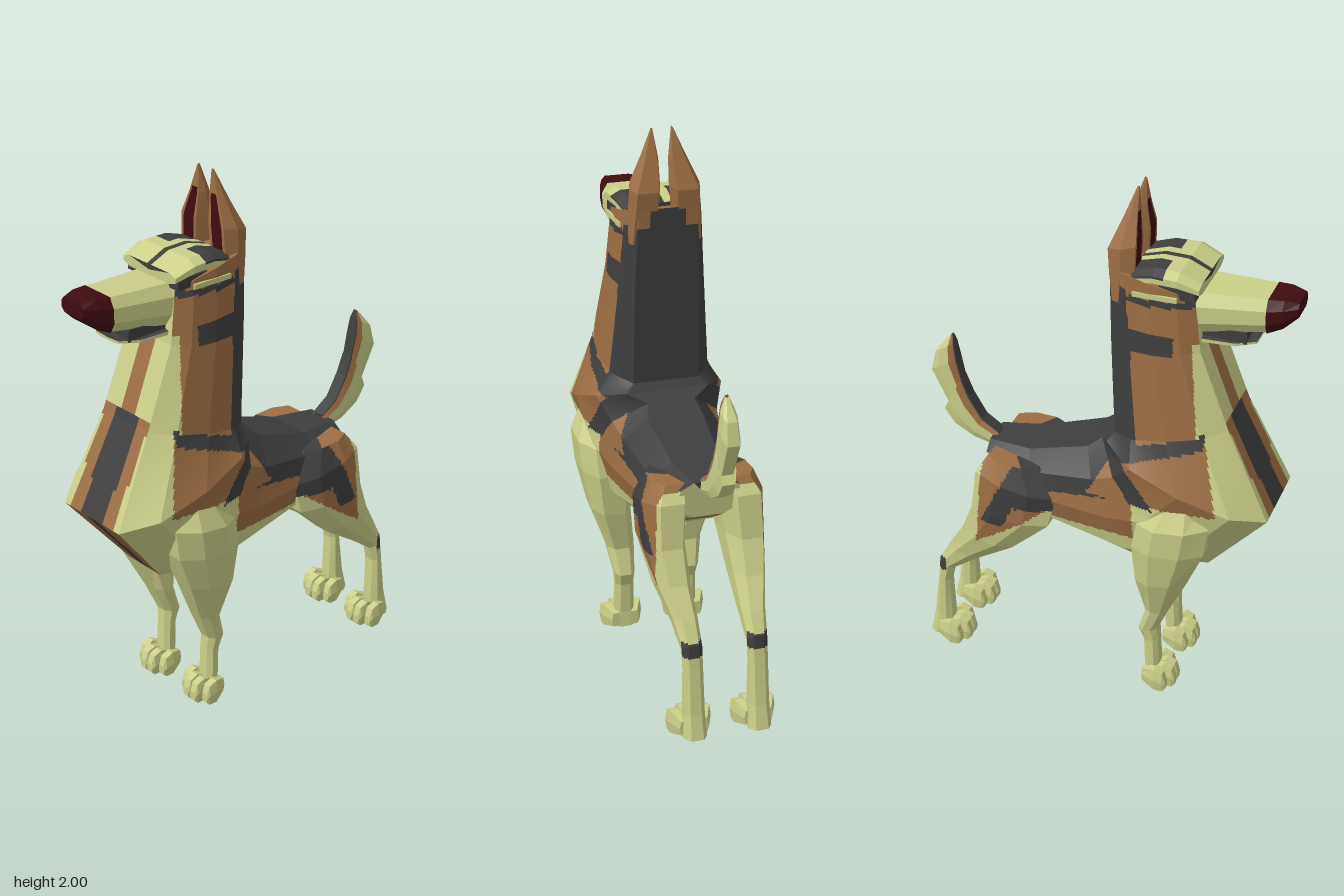
import * as THREE from 'three';

const CREAM = 0, BROWN = 1, BLACK = 2, RED = 3;

export function createModel() {
  const dog = new THREE.Group();
  dog.name = 'dog';
  const mats = [['creamFur', 0xcbcf88], ['brownFur', 0x9c6d43], ['blackFur', 0x3e3e3e], ['darkRed', 0x3f0b10]]
    .map(([name, color]) => Object.assign(new THREE.MeshStandardMaterial({ color }), { name }));

  // Faceted loft. A section is [yA, zA, yB, zB, halfWidth, xCentre, boxiness]; A and B are opposite ring edges.
  // paint(x, y, z, v) gives a colour index; v runs from 0 at edge A to 1 at edge B.
  function loft(name, sections, paint, { n = 8, p = 0.7, div = 1, side = 1 } = {}) {
    const lists = mats.map(() => []);
    const point = (i, k) => {
      const [ya, za, yb, zb, w, xc = 0, power = p] = sections[i];
      const t = (k + 0.5) * 2 * Math.PI / n, s = Math.sin(t);
      const f = (1 - Math.cos(t) / Math.cos(Math.PI / n)) / 2;
      const x = xc + w * Math.sign(s) * Math.abs(s) ** power;
      return new THREE.Vector3(side * x, ya + (yb - ya) * f, za + (zb - za) * f);
    };
    let volume = 0;
    const face = (corners, v) => {
      const m = new THREE.Vector3();
      corners.forEach((c) => m.addScaledVector(c, 1 / corners.length));
      const list = lists[paint(m.x, m.y, m.z, v)];
      for (let j = 1; j < corners.length - 1; j++) {
        const [a, b, c] = [corners[0], corners[j], corners[j + 1]];
        volume += a.dot(b.clone().cross(c));
        list.push([a, b, c]);
      }
    };
    const ringV = (k) => { const t = ((k + 0.5) / n) % 1; return 2 * Math.min(t, 1 - t); };
    for (let i = 0; i < sections.length - 1; i++) for (let k = 0; k < n; k++) {
      const A = point(i, k), B = point(i, k + 1), C = point(i + 1, k), D = point(i + 1, k + 1);
      const at = (u, s) => A.clone().lerp(B, u).lerp(C.clone().lerp(D, u), s);
      for (let a = 0; a < div; a++) for (let b = 0; b < div; b++) {
        const q = [[a, b], [a + 1, b], [a + 1, b + 1], [a, b + 1]].map(([u, s]) => at(u / div, s / div));
        const v = ringV(k + (a + 0.5) / div);
        face(q, v);
      }
    }
    // End caps
    for (const i of [0, sections.length - 1]) {
      const [ya, za, yb, zb, , xc = 0] = sections[i];
      const mid = new THREE.Vector3(side * xc, (ya + yb) / 2, (za + zb) / 2);
      for (let k = 0; k < n; k++) {
        const e = [point(i, k), point(i, k + 1)];
        if (i === 0) e.reverse();
        face([mid, ...e], ringV(k + 0.5));
      }
    }
    const g = new THREE.BufferGeometry(), pos = [];
    lists.forEach((list, m) => {
      if (!list.length) return;
      g.addGroup(pos.length / 3, list.length * 3, m);
      for (const [a, b, c] of list) for (const q of volume < 0 ? [a, c, b] : [a, b, c]) pos.push(q.x, q.y, q.z);
    });
    g.setAttribute('position', new THREE.Float32BufferAttribute(pos, 3));
    g.computeVertexNormals();
    const mesh = new THREE.Mesh(g, mats);
    mesh.name = name;
    dog.add(mesh);
  }
  const plain = (c) => () => c;
  function box(name, c, w, h, d, x, y, z) {
    const mesh = new THREE.Mesh(new THREE.BoxGeometry(w, h, d), mats[c]);
    mesh.name = name;
    mesh.position.set(x, y, z);
    dog.add(mesh);
  }

  // Coat pattern of torso and neck
  function coat(x, y, z, v) {
    const ax = Math.abs(x);
    // Breast stripes on the front facet, pale face above
    if (v > 0.9 && z > 0.33 && y > 0.56) {
      if (y < 0.835) return ax < 0.03 ? BLACK : BROWN;
      if (y < 1.19) return ax < 0.065 ? BLACK : ax < 0.12 ? BROWN : CREAM;
      return ax < 0.033 && y < 1.48 ? BROWN : CREAM;
    }
    // Neck
    if (y > 1.02 + Math.max(0, z) * 0.33) {
      if (y > 1.66) return ax < 0.07 && z < 0.06 ? BLACK : BROWN;
      if (z < 0.16 - (y - 1.1) * 0.1) return BLACK;
      if (y > 1.44 && y < 1.51 && z < 0.28) return BLACK;
      if (y > 1.615 && y < 1.64) return BLACK;
      if (y > 1.48) return BROWN;
      return z > 0.345 + (1.45 - y) * 0.12 ? CREAM : BROWN;
    }
    // Shoulder
    if (z > 0.16 || (z > -0.03 && y > 0.83)) {
      if (y > 0.967 + 0.33 * z && z < 0.41) return BLACK;
      if (y > 0.84 && Math.abs(z - 0.09 - (0.97 - y) * 0.83) < 0.05) return BLACK;
      if (z < 0.055 - (0.98 - y) * 0.55) return BLACK;
      if (z > 0.16) return y > 0.86 && z < 0.48 - (y - 0.86) * 0.25 ? BROWN : CREAM;
      return BROWN;
    }
    // Flank and rump
    if (z < -0.4 && y < 0.86) return CREAM;
    if (y > 0.82 + z * 0.15) return BLACK;
    return y > 0.68 ? BROWN : CREAM;
  }
  loft('torsoAndNeck', [
    [0.89, -0.45, 0.75, -0.43, 0.12],
    [0.90, -0.28, 0.62, -0.20, 0.18],
    [0.97, -0.05, 0.53, 0.16, 0.21],
    [1.01, 0.00, 0.555, 0.41, 0.24, 0, 0.85],
    [1.04, 0.04, 0.83, 0.64, 0.268, 0, 0.47],
    [1.07, 0.06, 1.16, 0.48, 0.20, 0, 0.4],
    [1.45, 0.045, 1.45, 0.37, 0.165, 0, 0.27],
    [1.73, 0.035, 1.66, 0.34, 0.148, 0, 0.27],
  ], coat, { n: 10, p: 0.6, div: 20 });

  // Head
  loft('brow', [
    [1.725, 0.12, 1.67, 0.12, 0.14], [1.748, 0.20, 1.685, 0.20, 0.152],
    [1.745, 0.29, 1.685, 0.29, 0.158], [1.71, 0.365, 1.67, 0.365, 0.145],
  ], (x, y, z, v) => {
    const ax = Math.abs(x);
    return v < 0.45 && (ax < 0.008 || (z < 0.24 && ax > 0.045)) ? BLACK : CREAM;
  }, { p: 0.3, div: 20 });
  box('eyeBand', BLACK, 0.27, 0.04, 0.17, 0, 1.668, 0.265);
  for (const s of [1, -1]) box('cheekStripe', CREAM, 0.009, 0.018, 0.16, s * 0.149, 1.652, 0.21);
  loft('muzzle', [[1.662, 0.31, 1.505, 0.31, 0.115], [1.668, 0.59, 1.545, 0.59, 0.088]], plain(CREAM), { p: 0.3 });
  loft('nose', [
    [1.67, 0.585, 1.54, 0.585, 0.091], [1.672, 0.64, 1.565, 0.64, 0.082], [1.664, 0.69, 1.61, 0.69, 0.062],
  ], plain(RED), { p: 0.3 });
  box('mouth', BLACK, 0.16, 0.045, 0.2, 0, 1.512, 0.42);
  loft('lowerJaw', [[1.505, 0.32, 1.47, 0.32, 0.105], [1.50, 0.48, 1.475, 0.48, 0.095], [1.503, 0.55, 1.485, 0.55, 0.065]],
    (x, y, z, v) => (v < 0.3 ? BLACK : CREAM), { p: 0.5 });

  // Tail
  loft('tail', [
    [0.90, -0.43, 0.84, -0.44, 0.036], [0.945, -0.495, 0.862, -0.53, 0.036], [1.03, -0.545, 0.905, -0.605, 0.036],
    [1.10, -0.572, 0.96, -0.645, 0.034], [1.105, -0.574, 0.99, -0.628, 0.031], [1.18, -0.59, 1.12, -0.69, 0.033],
    [1.24, -0.60, 1.20, -0.672, 0.026], [1.275, -0.608, 1.26, -0.625, 0.008],
  ], (x, y, z, v) => (v < 0.15 ? BLACK : v < 0.36 ? BROWN : CREAM), { p: 0.4, div: 6 });

  function thighCoat(x, y, z) {
    if (y > 0.315 && y < 0.37 && z < -0.61) return BLACK;
    if (z < -0.44 - (0.8 - y) * 0.07 || (Math.abs(x) < 0.12 && y < 0.85)) return CREAM;
    const t = z + 0.33 - (y - 0.75) * 0.5;
    if (y > 0.62 && Math.abs(t) < 0.045) return BLACK;
    if (y > 0.71 && z > -0.3) return BLACK;
    return y > 0.7 + (z + 0.2) * 0.7 ? BROWN : CREAM;
  }

  for (const side of [1, -1]) {
    const tag = side > 0 ? 'left' : 'right';
    // Ears with dark red insides
    loft(tag + 'Ear', [
      [1.60, 0.10, 1.60, 0.05, 0.03, 0.105], [1.70, 0.127, 1.70, 0.037, 0.055, 0.08],
      [1.81, 0.13, 1.79, 0.03, 0.057, 0.073], [1.90, 0.122, 1.89, 0.07, 0.034, 0.052],
      [2.0, 0.117, 2.0, 0.11, 0.003, 0.037],
    ], (x, y, z, v) => (v < 0.12 && y > 1.7 && y < 1.92 ? RED : BROWN), { n: 6, p: 0.5, div: 6, side });

    // Legs
    loft(tag + 'FrontLeg', [
      [0.87, 0.42, 0.86, 0.24, 0.09, 0.165], [0.80, 0.45, 0.77, 0.18, 0.11, 0.178],
      [0.68, 0.43, 0.66, 0.16, 0.105, 0.175],
      [0.53, 0.365, 0.50, 0.17, 0.08, 0.168], [0.36, 0.285, 0.34, 0.195, 0.056, 0.134],
      [0.25, 0.237, 0.24, 0.165, 0.041, 0.128], [0.20, 0.24, 0.19, 0.185, 0.037, 0.125],
      [0.08, 0.245, 0.07, 0.19, 0.04, 0.125], [0.01, 0.25, 0.01, 0.185, 0.045, 0.125],
    ], plain(CREAM), { side });
    loft(tag + 'HindLeg', [
      [0.87, -0.22, 0.88, -0.42, 0.07, 0.12], [0.76, -0.15, 0.82, -0.46, 0.085, 0.14],
      [0.64, -0.18, 0.66, -0.48, 0.076, 0.148], [0.50, -0.33, 0.54, -0.53, 0.062, 0.14],
      [0.40, -0.48, 0.44, -0.595, 0.046, 0.125], [0.32, -0.59, 0.36, -0.64, 0.037, 0.12],
      [0.26, -0.605, 0.28, -0.648, 0.037, 0.12], [0.10, -0.60, 0.10, -0.67, 0.04, 0.12],
      [0.01, -0.60, 0.01, -0.69, 0.045, 0.12],
    ], thighCoat, { div: 12, side });

    // Paws: four toes each, outer ones set back
    for (const [name, x, zf] of [['FrontToe', 0.127, 0.312], ['HindToe', 0.12, -0.522]]) {
      for (let i = 0; i < 4; i++) {
        const tx = x + (i - 1.5) * 0.039, z = zf - (i % 3 === 0 ? 0.025 : 0);
        loft(tag + name, [
          [0.07, z - 0.10, 0.015, z - 0.10, 0.018, x + (tx - x) * 0.6], [0.092, z - 0.045, 0, z - 0.045, 0.021, tx],
          [0.078, z - 0.012, 0, z - 0.012, 0.021, tx], [0.045, z, 0.012, z, 0.016, tx],
        ], plain(CREAM), { n: 6, p: 0.5, side });
      }
    }
  }
  return dog;
}
